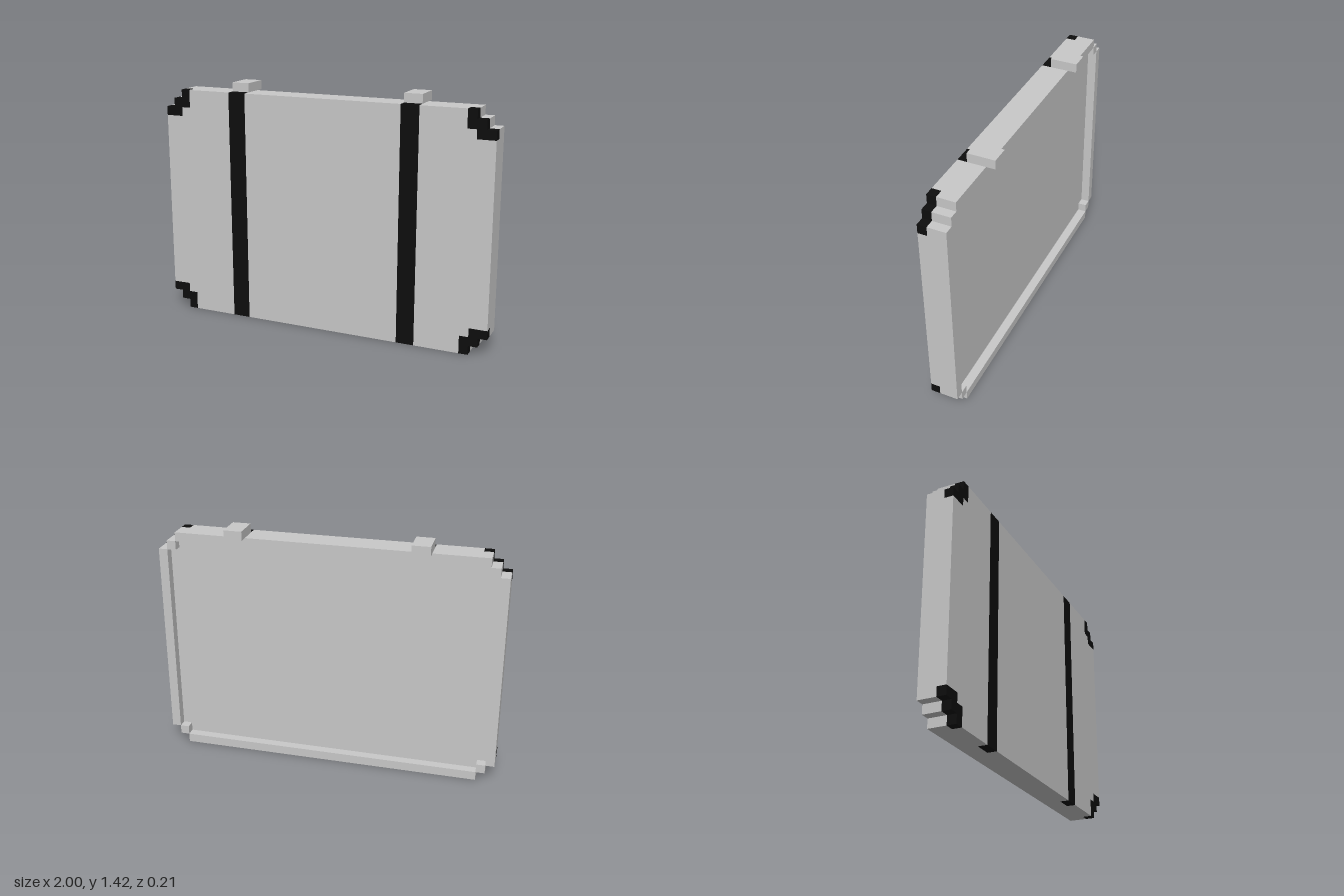
import * as THREE from 'three';

const U = 2 / 38; // one grid cell

export function createModel() {
  const model = new THREE.Group();
  const grey = new THREE.MeshStandardMaterial({ color: 0xc8c8c8 });
  grey.name = 'light grey';
  const black = new THREE.MeshStandardMaterial({ color: 0x0d0d0d });
  black.name = 'black';

  // Box between two corners, in cells
  function box(name, material, x0, x1, y0, y1, z0, z1) {
    const geometry = new THREE.BoxGeometry((x1 - x0) * U, (y1 - y0) * U, (z1 - z0) * U);
    const mesh = new THREE.Mesh(geometry, material);
    mesh.position.set((x0 + x1) * U / 2, (y0 + y1) * U / 2, (z0 + z1) * U / 2);
    mesh.name = name;
    model.add(mesh);
  }

  // Stepped plate one cell thick, in cells
  function plate(name, material, points, z) {
    const shape = new THREE.Shape(points.map(([x, y]) => new THREE.Vector2(x * U, y * U)));
    const mesh = new THREE.Mesh(new THREE.ExtrudeGeometry(shape, { depth: U, bevelEnabled: false }), material);
    mesh.position.z = z * U;
    mesh.name = name;
    model.add(mesh);
  }

  // Backing board with stepped corners
  const upperRight = [[19, 24], [18, 24], [18, 25], [17, 25], [17, 26]];
  const flipX = ([x, y]) => [-x, y];
  const flipY = ([x, y]) => [x, 26 - y];
  const half = [...upperRight.map(flipY).reverse(), ...upperRight];
  plate('backingBoard', grey, [...half, ...half.map(flipX).reverse()], 0);

  // Front face between the straps
  box('frontPanel', grey, -9, 9, 0, 26, 1, 2);

  for (const s of [1, -1]) {
    const side = s > 0 ? 'left' : 'right';
    const span = (a, b) => (s > 0 ? [a, b] : [-b, -a]);

    // Front strap and the hook above it
    box(side + 'Strap', black, ...span(9, 11), 0, 26, 1, 2);
    box(side + 'Hook', grey, ...span(9, 11), 26, 27, -2, 1);

    // Front face outside the strap, notched for the corner guards
    const notch = [[19, 23], [17, 23], [17, 24], [16, 24], [16, 26], [11, 26]];
    const outer = [...notch.map(flipY).reverse(), ...notch];
    plate(side + 'FrontPanel', grey, outer.map(([x, y]) => [s * x, y]), 1);

    // Rear rim upright
    box(side + 'Rim', grey, ...span(18, 19), 2, 24, -1, 0);

    for (const top of [true, false]) {
      const end = top ? 'Upper' : 'Lower';
      // Black stepped corner guard
      const guard = [[16, 26], [17, 26], [17, 25], [18, 25], [18, 24], [19, 24],
        [19, 23], [17, 23], [17, 24], [16, 24]];
      plate(side + end + 'CornerGuard', black,
        guard.map(([x, y]) => [s * x, top ? y : 26 - y]), 1);
      // Rear rim corner block
      const y = top ? 24 : 1;
      box(side + end + 'RimCorner', grey, ...span(17, 18), y, y + 1, -1, 0);
    }
  }

  // Rear rim rails
  box('topRim', grey, -17, 17, 25, 26, -1, 0);
  box('bottomRim', grey, -17, 17, 0, 1, -1, 0);

  return model;
}
